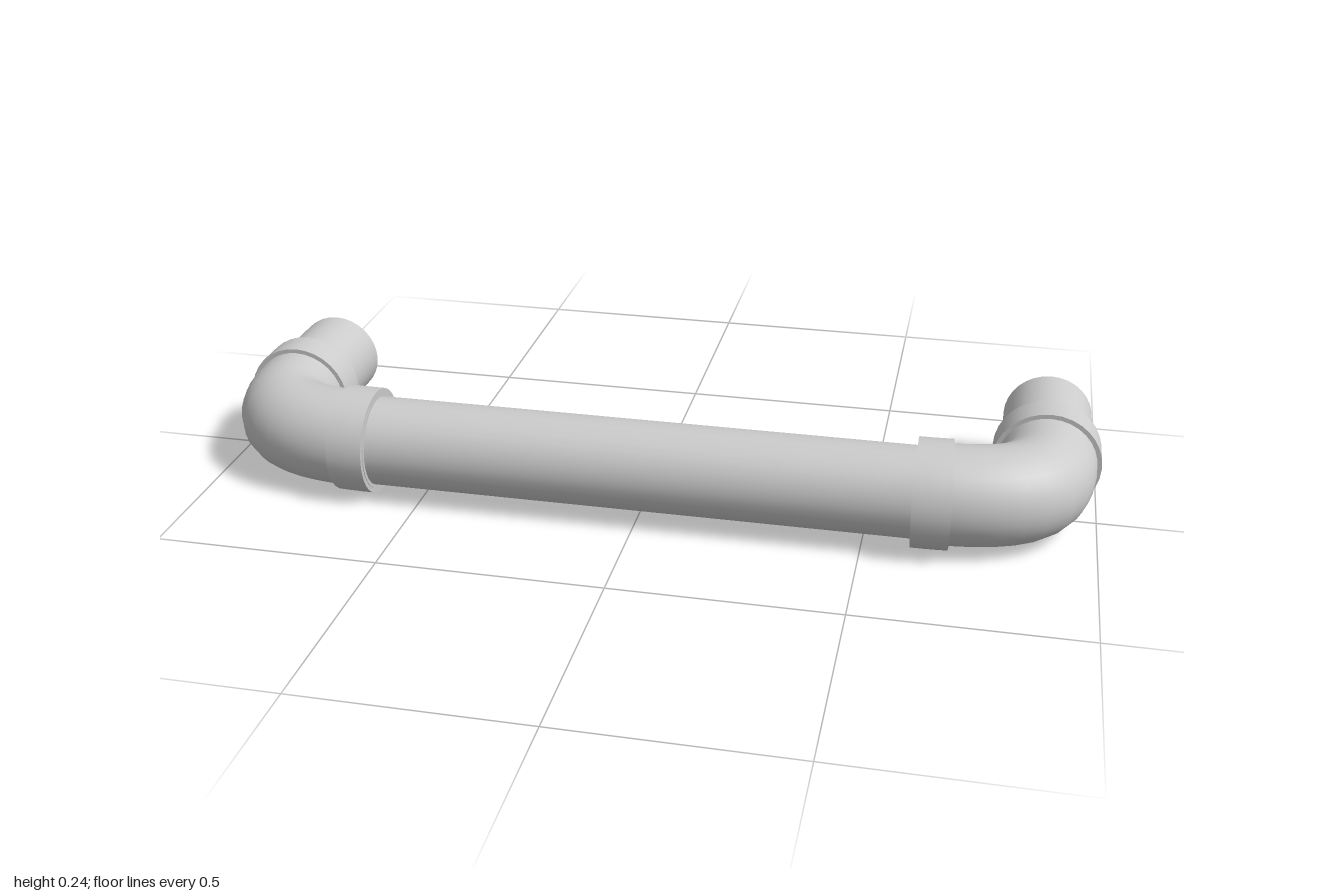
import * as THREE from 'three';

const V = (x, y, z) => new THREE.Vector3(x, y, z);
const Y = 0.12;        // height of the pipe axis
const BAR_Z = 0.165;   // depth of the long bar axis
const LEG_X = 0.88;    // sideways position of the legs
const SIDES = 32;

export function createModel() {
  const model = new THREE.Group();
  model.name = 'pipeHandle';
  const material = new THREE.MeshStandardMaterial({ color: 0xcccccc });

  const add = (parent, name, geometry) => {
    const mesh = new THREE.Mesh(geometry, material);
    mesh.name = name;
    parent.add(mesh);
    return mesh;
  };

  // Round pipe along a curve, closed by a disc at each end
  const pipe = (parent, name, curve, radius, steps) => {
    const group = new THREE.Group();
    group.name = name;
    add(group, name + 'Wall', new THREE.TubeGeometry(curve, steps, radius, SIDES));
    for (const end of [0, 1]) {
      const cap = add(group, name + 'Cap', new THREE.CircleGeometry(radius, SIDES));
      const outward = curve.getTangentAt(end).multiplyScalar(end ? 1 : -1);
      cap.position.copy(curve.getPointAt(end));
      cap.quaternion.setFromUnitVectors(V(0, 0, 1), outward);
    }
    parent.add(group);
  };

  // Long grip bar
  pipe(model, 'bar', new THREE.LineCurve3(V(-0.65, Y, BAR_Z), V(0.65, Y, BAR_Z)), 0.101, 1);

  for (const [side, s] of [['left', 1], ['right', -1]]) {
    const half = new THREE.Group();
    half.name = side + 'End';
    const x = s * LEG_X;

    // Curved elbow between leg and bar
    const bend = new THREE.CubicBezierCurve3(
      V(x, Y, -0.03), V(x, Y, 0.1), V(s * 0.84, Y, BAR_Z), V(s * 0.605, Y, BAR_Z));
    pipe(half, 'elbow', bend, 0.11, 12);

    // Collar on the bar end, following the elbow's last stretch
    const stretch = [0.88, 0.92, 0.96, 1].map(t => bend.getPoint(t));
    pipe(half, 'barCollar', new THREE.CatmullRomCurve3(stretch), 0.12, 3);

    // Collar on the leg, and the leg itself
    pipe(half, 'legCollar', new THREE.LineCurve3(V(x, Y, -0.03), V(x, Y, -0.107)), 0.12, 1);
    pipe(half, 'leg', new THREE.LineCurve3(V(x, Y, -0.05), V(x, Y, -0.288)), 0.101, 1);

    model.add(half);
  }
  return model;
}
